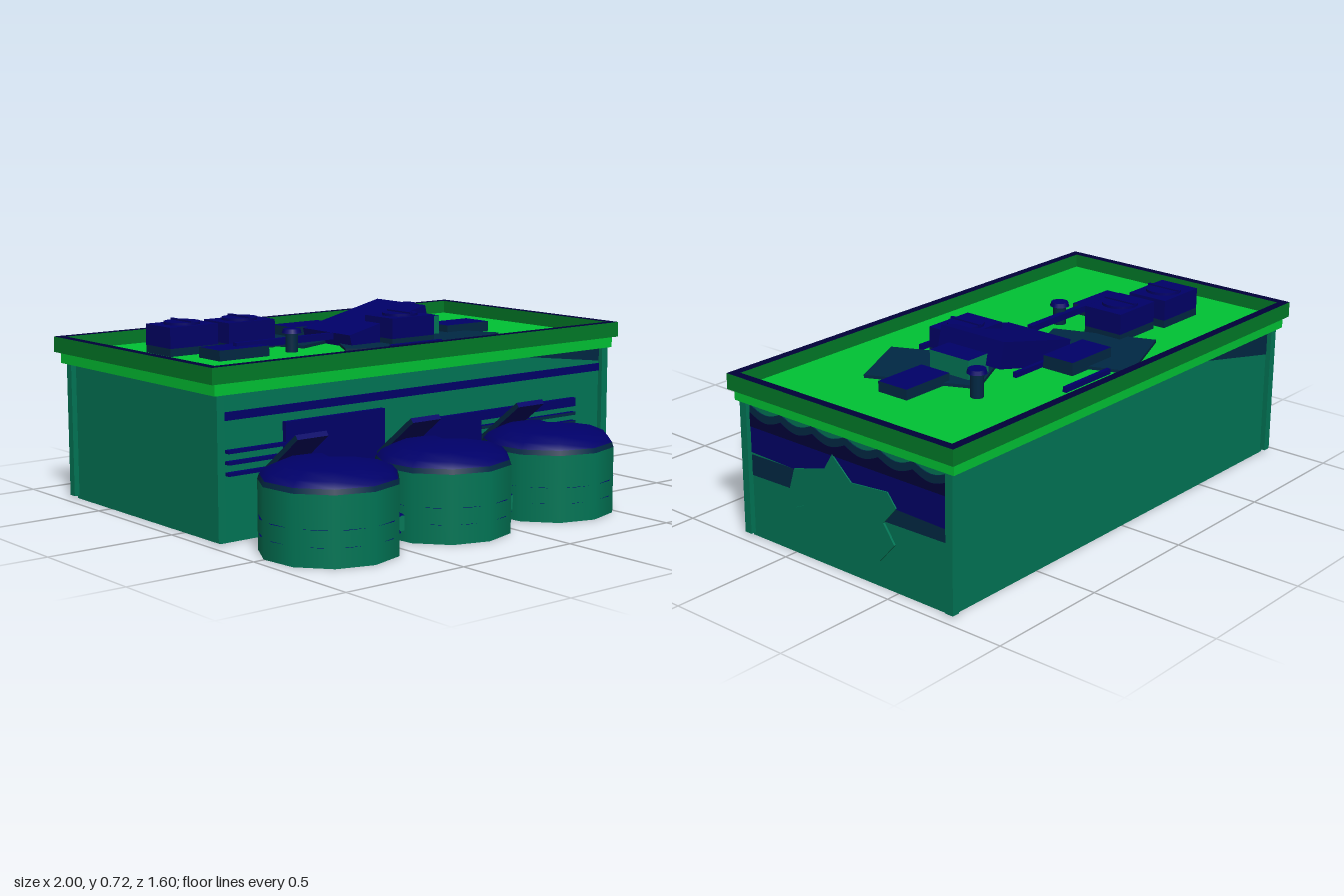
import * as THREE from 'three';

const mat = (name, color, side = THREE.FrontSide) => {
  const m = new THREE.MeshStandardMaterial({ color, side });
  m.name = name;
  return m;
};

export function createModel() {
  const teal = mat('teal wall', 0x007656, THREE.DoubleSide);
  const navy = mat('navy', 0x000068, THREE.DoubleSide);
  const dark = mat('dark navy', 0x000038);
  const slate = mat('slate', 0x002844, THREE.DoubleSide);
  const bright = mat('bright green', 0x00c334);
  const green = mat('parapet green', 0x007b28);

  const model = new THREE.Group();
  model.name = 'industrialBuilding';

  const add = (name, geo, material, x = 0, y = 0, z = 0, parent = model) => {
    const m = new THREE.Mesh(geo, material);
    m.name = name;
    m.position.set(x, y, z);
    parent.add(m);
    return m;
  };
  // Box given by its extents
  const box = (name, material, x0, x1, y0, y1, z0, z1, parent = model) =>
    add(name, new THREE.BoxGeometry(x1 - x0, y1 - y0, z1 - z0), material,
      (x0 + x1) / 2, (y0 + y1) / 2, (z0 + z1) / 2, parent);
  const shape = (pts) => new THREE.Shape(pts.map(([x, y]) => new THREE.Vector2(x, y)));
  // Box materials: coloured sides, navy top and underside
  const topped = (side) => [side, side, navy, navy, side, side];

  // Main hall: walls, corner posts, trim
  box('walls', [teal, teal, teal, navy, teal, teal], -0.945, 0.945, 0, 0.53, -0.745, 0.225);
  for (const x of [-0.95, 0.95])
    for (const z of [-0.75, 0.23])
      box('cornerPost', teal, x - 0.016, x + 0.016, 0.012, 0.53, z - 0.016, z + 0.016);
  box('roofSlab', [bright, bright, bright, navy, bright, bright],
    -0.98, 0.98, 0.53, 0.58, -0.785, 0.255);

  // Parapet frame around the roof
  const rect = (w, a, b) => [[-w, a], [w, a], [w, b], [-w, b]];
  const frame = shape(rect(1, -0.27, 0.8));
  frame.holes.push(shape(rect(0.965, -0.235, 0.765)));
  const parapet = new THREE.ExtrudeGeometry(frame, { depth: 0.06, bevelEnabled: false });
  parapet.rotateX(-Math.PI / 2);
  add('parapet', parapet, [dark, green], 0, 0.573, 0);

  // Front wall: long stripe, panels and louvres
  box('frontStripe', navy, -0.934, 0.934, 0.435, 0.465, 0.222, 0.23);
  box('frontPanel', navy, -0.67, -0.215, 0.22, 0.405, 0.222, 0.245);
  box('frontPanel', navy, -0.07, 0.27, 0.18, 0.34, 0.222, 0.245);
  box('louvreHeader', navy, 0.27, 0.785, 0.305, 0.34, 0.222, 0.245);
  for (const [y, side] of [[0.165, teal], [0.2, teal], [0.235, slate], [0.27, slate]])
    box('louvreSlat', topped(side), 0.27, 0.785, y, y + 0.012, 0.222, 0.248);
  for (const y of [0.24, 0.28, 0.32])
    box('louvreSlat', navy, -0.92, -0.67, y, y + 0.012, 0.222, 0.248);

  // Slanted stains below the trim on the front and back walls
  const stain = (pts, z) =>
    add('cornerStain', new THREE.ShapeGeometry(shape(pts)), slate, 0, 0, z);
  stain([[0.5, 0.53], [0.934, 0.475], [0.934, 0.53]], 0.2275);
  stain([[-0.4, 0.53], [-0.934, 0.42], [-0.934, 0.53]], -0.7475);

  // Side mural, drawn as (-z, y) and turned to face +x
  const mural = (name, pts, material, depth) => {
    const g = new THREE.ExtrudeGeometry(shape(pts), { depth, bevelEnabled: false });
    g.rotateY(Math.PI / 2);
    add(name, g, material, 0.944, 0, 0);
  };
  const scallop = (name, top, bottom, material, depth) => {
    const pts = [[0.734, bottom], [-0.214, bottom]];
    for (let i = 0; i <= 48; i++)
      pts.push([-0.214 + 0.948 * i / 48, top - 0.025 * Math.abs(Math.sin(i * Math.PI / 8))]);
    mural(name, pts, material, depth);
  };
  mural('slateBand', [[-0.214, 0.24], [0.734, 0.26], [0.734, 0.34], [-0.214, 0.32]], slate, 0.003);
  mural('navyBand', [[-0.214, 0.33], [0.734, 0.31], [0.734, 0.44], [-0.214, 0.45]], navy, 0.004);
  scallop('upperWave', 0.515, 0.44, slate, 0.005);
  scallop('lowerWave', 0.485, 0.43, dark, 0.006);
  mural('splashPatch', [[0.2, 0.435], [0.29, 0.355], [0.46, 0.37], [0.5, 0.32], [0.44, 0.25],
    [0.49, 0.18], [0.42, 0.1], [0.33, 0.11], [0.225, 0.07], [0.12, 0.11], [0.01, 0.18],
    [0.055, 0.2], [-0.015, 0.25], [0.01, 0.33], [0.16, 0.37]], teal, 0.009);

  // Tanks: hollow drums with a quarter cut out above a ledge, a low block and a chute
  const R = 0.25;
  const side = [[R, 0], [R, 0.25]];
  const rim = [[R, 0.25], [0.244, 0.268]];
  const dome = [[0.244, 0.268], [0.225, 0.29], [0.17, 0.313], [0.09, 0.326], [0, 0.331]];
  const v2 = (a) => a.map(([x, y]) => new THREE.Vector2(x, y));
  const start = Math.PI * 0.875, sweep = Math.PI * 1.5;
  // Colour fields of the two cut faces, as (radius, height)
  const cuts = [
    [start, teal, [[0, 0.13], [0.2, 0.13], [0, 0.24]]],
    [start, slate, [[0.2, 0.13], [R, 0.13], [R, 0.18], [0, 0.27], [0, 0.24]]],
    [start, navy, [[0, 0.27], [R, 0.18], ...rim, ...dome.slice(1)]],
    [start + sweep, teal, [[0, 0.13], [R, 0.13], [R, 0.25], [0, 0.25]]],
    [start + sweep, navy, [[0, 0.25], ...rim, ...dome.slice(1)]],
  ];
  for (const x of [-0.71, -0.19, 0.335]) {
    const tank = new THREE.Group();
    tank.name = 'tank';
    tank.position.set(x, 0, 0.545);
    model.add(tank);
    for (const [name, profile, material] of [['tankBody', side, teal],
      ['tankRim', rim, slate], ['tankDome', dome, navy]])
      add(name, new THREE.LatheGeometry(v2(profile), 8, start, sweep), material, 0, 0, 0, tank);
    add('tankLedgeSide', new THREE.CylinderGeometry(R, R, 0.13, 4, 1, true,
      start + sweep - 2 * Math.PI, Math.PI / 2), teal, 0, 0.065, 0, tank);
    add('tankLedge', new THREE.CircleGeometry(R - 0.002, 16, Math.PI / 8), navy, 0, 0.13, 0, tank)
      .rotation.x = -Math.PI / 2;
    add('tankFloor', new THREE.CircleGeometry(R - 0.004, 16, Math.PI / 8), navy, 0, 0.07, 0, tank)
      .rotation.x = Math.PI / 2;
    for (const [phi, material, pts] of cuts)
      add('cutFace', new THREE.ShapeGeometry(shape(pts)), material, 0, 0, 0, tank)
        .rotation.y = phi - Math.PI / 2;
    const block = new THREE.Group();
    block.name = 'lowBlock';
    block.rotation.y = -Math.PI / 8;
    tank.add(block);
    box('blockBody', topped(teal), 0.1, 0.28, 0.045, 0.1, -0.305, -0.03, block);
    add('chute', new THREE.BoxGeometry(0.135, 0.02, 0.26),
      [slate, slate, navy, navy, navy, navy], 0.005, 0.31, -0.205, tank).rotation.x = -0.66;
  }

  // Loose plates lying on the roof: x, z, width, depth, turn
  for (const [x, z, w, d, r] of [[-0.14, -0.478, 0.366, 0.405, 0.38],
    [0.38, -0.157, 0.315, 0.43, 0.44], [-0.02, -0.08, 0.22, 0.17, -0.525]])
    add('roofPlate', new THREE.BoxGeometry(w, 0.012, d), slate, x, 0.585 + r * 0.002, z)
      .rotation.y = r;

  // Low service boxes: x0, x1, z0, z1, top, side colour
  for (const [x0, x1, z0, z1, top, color] of [[-0.685, -0.46, -0.275, -0.14, 0.62, slate],
    [-0.12, 0.11, -0.585, -0.45, 0.63, slate], [0.455, 0.68, -0.3, -0.165, 0.62, slate],
    [0.3, 0.41, -0.35, -0.165, 0.665, teal]])
    box('serviceBox', topped(color), x0, x1, 0.578, top, z0, z1);

  // Fan units with round grilles
  for (const [x, z] of [[-0.652, -0.438], [-0.405, -0.41], [0.167, -0.125]]) {
    box('fanPlinth', slate, x - 0.108, x + 0.108, 0.578, 0.61, z - 0.084, z + 0.084);
    box('fanUnit', navy, x - 0.108, x + 0.108, 0.61, 0.69, z - 0.084, z + 0.084);
    add('fanGrille', new THREE.CylinderGeometry(0.07, 0.07, 0.01, 16), navy, x, 0.695, z);
    box('fanBar', navy, x - 0.006, x + 0.006, 0.698, 0.706, z - 0.07, z + 0.07);
  }

  // Large tilted unit
  add('tiltedUnit', new THREE.BoxGeometry(0.395, 0.1, 0.3), navy, 0.112, 0.626, -0.267)
    .rotation.z = 0.23;

  // Duct, roof rails and mushroom vents
  box('duct', navy, -0.57, -0.11, 0.608, 0.633, -0.22, -0.195);
  for (const z of [-0.665, -0.437, 0.02])
    box('roofRail', navy, 0, 0.257, 0.578, 0.6, z - 0.008, z + 0.008);
  for (const [x, z, top] of [[0.49, -0.46, 0.682], [-0.325, -0.18, 0.665]]) {
    add('ventStem', new THREE.CylinderGeometry(0.025, 0.025, top - 0.58, 10), slate,
      x, (top + 0.575) / 2, z);
    add('ventCap', new THREE.CylinderGeometry(0.033, 0.038, 0.016, 12), navy, x, top - 0.004, z);
  }
  return model;
}
